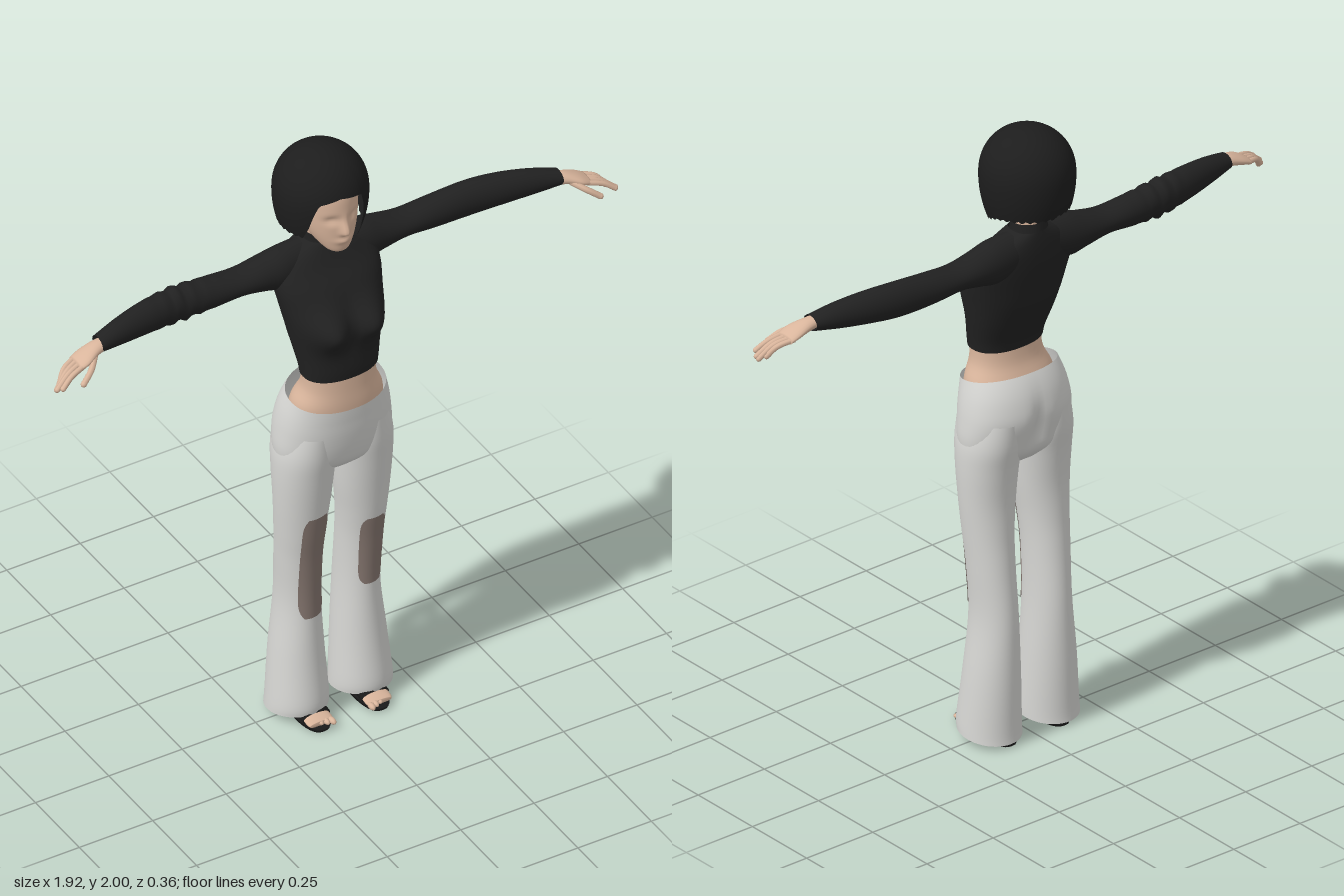
import * as THREE from 'three';
import { mergeGeometries } from 'three/addons/utils/BufferGeometryUtils.js';

const paint = (name, color, side = THREE.FrontSide) => {
  const m = new THREE.MeshStandardMaterial({ color, side });
  m.name = name;
  return m;
};
const gauss = (d, s) => Math.exp(-(d * d) / (s * s));

// Smoothly subdivide a list of rings [y, xMin, xMax, zMin, zMax], y ascending.
function densify(rings, sub = 5) {
  const out = [], at = i => rings[Math.max(0, Math.min(rings.length - 1, i))];
  for (let i = 0; i < rings.length - 1; i++) {
    for (let k = 0; k < sub; k++) {
      const t = k / sub, a = at(i - 1), b = at(i), c = at(i + 1), d = at(i + 2);
      out.push(b.map((_, n) => 0.5 * (2 * b[n] + (c[n] - a[n]) * t +
        (2 * a[n] - 5 * b[n] + 4 * c[n] - d[n]) * t * t + (3 * b[n] - a[n] - 3 * c[n] + d[n]) * t ** 3)));
    }
  }
  out.push(rings[rings.length - 1]);
  return out;
}

// Skin a surface over the rings; power < 1 gives boxier sections.
function loft(rings, { seg = 32, power = 1, cap = false, sub = 5, shape } = {}) {
  const rows = densify(rings, sub), pos = [], idx = [], v = new THREE.Vector3();
  const soft = n => Math.sign(n) * Math.abs(n) ** power;
  for (const [y, x0, x1, z0, z1] of rows) {
    for (let j = 0; j < seg; j++) {
      const t = (j / seg) * Math.PI * 2;
      v.set((x0 + x1) / 2 + ((x1 - x0) / 2) * soft(Math.cos(t)), y, (z0 + z1) / 2 + ((z1 - z0) / 2) * soft(Math.sin(t)));
      if (shape) shape(v);
      pos.push(v.x, v.y, v.z);
    }
  }
  for (let i = 0; i < rows.length - 1; i++) {
    for (let j = 0; j < seg; j++) {
      const a = i * seg + j, b = i * seg + (j + 1) % seg;
      idx.push(a, a + seg, b, b, a + seg, b + seg);
    }
  }
  if (cap) {
    for (const [row, up] of [[0, false], [rows.length - 1, true]]) {
      const [y, x0, x1, z0, z1] = rows[row], c = pos.length / 3;
      pos.push((x0 + x1) / 2, y, (z0 + z1) / 2);
      for (let j = 0; j < seg; j++) {
        const a = row * seg + j, b = row * seg + (j + 1) % seg;
        if (up) idx.push(a, c, b); else idx.push(a, b, c);
      }
    }
  }
  return surface(pos, idx);
}

function surface(pos, idx) {
  const g = new THREE.BufferGeometry();
  g.setAttribute('position', new THREE.Float32BufferAttribute(pos, 3));
  g.setIndex(idx);
  g.computeVertexNormals();
  return g;
}

// Regular grid surface from a point function.
function sheet(rows, cols, point) {
  const pos = [], idx = [], w = cols + 1;
  for (let i = 0; i <= rows; i++) for (let j = 0; j <= cols; j++) pos.push(...point(i / rows, j / cols));
  for (let i = 0; i < rows; i++) {
    for (let j = 0; j < cols; j++) {
      const a = i * w + j;
      idx.push(a, a + w, a + 1, a + 1, a + w, a + w + 1);
    }
  }
  return surface(pos, idx);
}

// Finger: bent tube with a rounded tip.
function finger(points, r) {
  const p = points.map(q => new THREE.Vector3(...q));
  const tip = new THREE.SphereGeometry(r, 10, 8).translate(...points[points.length - 1]);
  return mergeGeometries([new THREE.TubeGeometry(new THREE.CatmullRomCurve3(p), 10, r, 8), tip]);
}

// One trouser leg on side s.
const legRings = s => [
  [0.025, 0.015, 0.203, -0.107, 0.095], [0.07, 0.016, 0.2, -0.105, 0.097], [0.23, 0.025, 0.185, -0.105, 0.08],
  [0.41, 0.035, 0.166, -0.1, 0.07], [0.57, 0.035, 0.172, -0.085, 0.075], [0.68, 0.028, 0.18, -0.074, 0.087],
  [0.79, 0.015, 0.188, -0.07, 0.099], [0.9, 0.006, 0.193, -0.08, 0.112], [0.98, 0.002, 0.19, -0.094, 0.122],
  [1.06, 0.01, 0.172, -0.1, 0.125],
].map(([y, a, b, c, d]) => (s > 0 ? [y, a, b, c, d] : [y, -b, -a, c, d]));

export function createModel() {
  const skin = paint('skin', 0xd9b59c);
  const hairPaint = paint('hair black', 0x1d1d1d, THREE.DoubleSide);
  const knit = paint('sweater black', 0x212121, THREE.DoubleSide);
  const denim = paint('trouser white', 0xd6d6d3, THREE.DoubleSide);
  const worn = paint('worn knee', 0x85766f, THREE.DoubleSide);
  const leather = paint('sandal black', 0x1a1a1a);
  const model = new THREE.Group();
  const add = (name, geo, mat) => {
    const m = new THREE.Mesh(geo, mat);
    m.name = name;
    model.add(m);
  };

  // Head with nose, lips, chin and eye sockets raised from the front
  add('head', loft([
    [1.688, -0.02, 0.02, 0.03, 0.07], [1.7, -0.04, 0.04, 0.0, 0.082], [1.735, -0.066, 0.066, -0.07, 0.088],
    [1.78, -0.084, 0.084, -0.12, 0.09], [1.84, -0.093, 0.093, -0.15, 0.09], [1.9, -0.095, 0.095, -0.15, 0.08],
    [1.95, -0.075, 0.075, -0.12, 0.045],
  ], { seg: 72, sub: 8, cap: true, shape: v => {
    if (v.z < 0.02) return;
    const x = Math.abs(v.x);
    v.z += 0.024 * gauss(x, 0.013) * gauss(v.y - 1.772, v.y > 1.772 ? 0.035 : 0.011);
    v.z += 0.008 * gauss(x, 0.024) * gauss(v.y - 1.738, 0.01);
    v.z -= 0.011 * gauss(x - 0.036, 0.02) * gauss(v.y - 1.815, 0.014);
  } }), skin);
  add('neck', loft([[1.6, -0.048, 0.048, -0.1, -0.005], [1.68, -0.045, 0.045, -0.09, -0.005],
    [1.76, -0.045, 0.045, -0.085, 0.0]]), skin);

  // Bob hair: lower edge rises over the face and hangs longer on the left
  add('hair', sheet(28, 120, (v, u) => {
    const deg = u * 360 - 180, phi = THREE.MathUtils.degToRad(deg);
    const open = THREE.MathUtils.smoothstep(deg, -56, -30) * (1 - THREE.MathUtils.smoothstep(deg, 26, 40));
    const front = gauss(deg - 50, 35) * 0.045;
    const low = (deg < 0 ? 1.755 : 1.75) - front + 0.004 * Math.sin(deg * 0.6);
    const edge = THREE.MathUtils.lerp(low, 1.9 - Math.abs(deg + 5) * 0.0005, open);
    const y = 2 - (2 - edge) * v * v, d = y - 1.85;
    const r = d > 0 ? Math.sqrt(Math.max(0, 1 - (d / 0.15) ** 2.2)) : 1 - 0.16 * (d / 0.13) ** 2;
    return [-0.004 + 0.143 * r * Math.sin(phi), y, -0.043 + 0.145 * r * Math.cos(phi)];
  }), hairPaint);

  // Sweater body, collar and bare waist
  add('sweaterBody', loft([
    [1.262, -0.122, 0.122, -0.025, 0.134], [1.3, -0.127, 0.127, -0.035, 0.136], [1.37, -0.14, 0.14, -0.065, 0.132],
    [1.44, -0.152, 0.152, -0.09, 0.128], [1.5, -0.163, 0.163, -0.102, 0.108], [1.56, -0.172, 0.172, -0.11, 0.08],
    [1.61, -0.165, 0.165, -0.112, 0.042], [1.65, -0.12, 0.12, -0.11, 0.018], [1.68, -0.058, 0.058, -0.106, 0.002],
  ], { seg: 64, power: 0.88, shape: v => {
    if (v.z > 0) v.z += 0.054 * gauss(Math.abs(v.x) - 0.07, 0.056) * gauss(v.y - 1.45, 0.062);
  } }), knit);
  add('collar', loft([[1.63, -0.07, 0.07, -0.11, 0.015], [1.67, -0.056, 0.056, -0.106, 0.004],
    [1.705, -0.053, 0.053, -0.1, 0.002]]), knit);
  add('waist', loft([[1.1, -0.15, 0.15, -0.07, 0.135], [1.16, -0.144, 0.144, -0.055, 0.136],
    [1.22, -0.119, 0.119, -0.03, 0.132], [1.3, -0.116, 0.116, -0.02, 0.128]], { seg: 48, power: 0.92 }), skin);

  // Trouser hips: waistband dips at the front, crease at the back
  add('trouserHips', loft([
    [0.9, -0.1, 0.1, -0.045, 0.075], [0.94, -0.175, 0.175, -0.082, 0.112], [0.99, -0.19, 0.19, -0.098, 0.128],
    [1.06, -0.185, 0.185, -0.113, 0.139], [1.12, -0.174, 0.174, -0.103, 0.143], [1.18, -0.157, 0.157, -0.072, 0.146],
  ], { seg: 64, power: 0.92, shape: v => {
    if (v.z < 0) v.z += 0.022 * gauss(v.x, 0.022) * gauss(v.y - 1.02, 0.075);
    v.y -= 0.19 * (v.z - 0.02) * THREE.MathUtils.smoothstep(v.y, 1.08, 1.18);
  } }), denim);

  for (const s of [1, -1]) {
    const side = s > 0 ? 'left' : 'right';

    // Sleeve, lofted upright then laid along x, with folds on the right one
    const alongX = rings => rings.map(([x, y0, y1, z0, z1]) => (s > 0 ? [x, -y1, -y0, z0, z1] : [x, y0, y1, z0, z1]));
    const lay = (rings, opts) => loft(alongX(rings), opts).rotateZ(-s * Math.PI / 2);
    add(side + 'Sleeve', lay([
      [0.07, 1.55, 1.678, -0.105, 0.0], [0.14, 1.535, 1.672, -0.109, 0.008], [0.2, 1.548, 1.657, -0.109, 0.003],
      [0.28, 1.562, 1.642, -0.106, -0.002], [0.38, 1.553, 1.65, -0.105, -0.005], [0.5, 1.55, 1.66, -0.1, -0.005],
      [0.6, 1.557, 1.659, -0.085, 0.005], [0.7, 1.567, 1.648, -0.06, 0.016], [0.785, 1.58, 1.628, -0.036, 0.026],
    ], { sub: 8, shape: v => {
      if (s < 0) v.x += 0.008 * Math.sin(v.y * 130) * gauss(v.y - 0.48, 0.06);
    } }), knit);

    // Hand: palm, four fingers and thumb
    add(side + 'Palm', lay([[0.76, 1.585, 1.622, -0.024, 0.02], [0.8, 1.58, 1.617, -0.026, 0.03],
      [0.84, 1.57, 1.602, -0.028, 0.046], [0.87, 1.562, 1.585, -0.024, 0.044]], { seg: 20, cap: true }), skin);
    [[-0.016, 0.02, 0.93, 1.532], [0.0, 0.034, 0.948, 1.524], [0.017, 0.042, 0.95, 1.53], [0.035, 0.058, 0.94, 1.54]]
      .forEach(([z0, z1, x, y], i) => add(side + 'Finger' + (i + 1), finger([[s * 0.855, 1.577, z0],
        [s * 0.905, 1.563, (z0 + z1) / 2], [s * x, y, z1]], 0.0085), skin));
    add(side + 'Thumb', finger([[s * 0.81, 1.59, 0.022], [s * 0.845, 1.57, 0.058], [s * 0.88, 1.545, 0.075]], 0.0095), skin);

    add(side + 'Ear', new THREE.SphereGeometry(0.02, 16, 12).scale(0.5, 1.3, 0.9).translate(s * 0.088, 1.775, -0.02), skin);

    // Trouser leg with the hem slightly higher in front
    const rings = legRings(s);
    add(side + 'TrouserLeg', loft(rings, { seg: 48, shape: v => {
      v.y += 0.12 * v.z * (1 - THREE.MathUtils.smoothstep(v.y, 0.02, 0.16));
    } }), denim);

    // Worn patch hugging the front of the leg
    const [px0, px1, py0, py1] = s > 0 ? [0.064, 0.15, 0.425, 0.675] : [-0.14, -0.045, 0.375, 0.755];
    const rows = densify(rings);
    add(side + 'KneePatch', sheet(24, 12, (v, u) => {
      const y = py1 + (py0 - py1) * v, inset = 0.016 * Math.abs(2 * v - 1) ** 10;
      const x = px0 + inset + (px1 - px0 - 2 * inset) * u;
      const k = rows.findIndex(r => r[0] > y), a = rows[k - 1], b = rows[k], t = (y - a[0]) / (b[0] - a[0]);
      const [, x0, x1, z0, z1] = a.map((n, i) => n + (b[i] - n) * t);
      const q = (2 * x - x0 - x1) / (x1 - x0);
      return [x, y, (z0 + z1) / 2 + ((z1 - z0) / 2) * Math.sqrt(Math.max(0, 1 - q * q)) + 0.003];
    }), worn);

    // Foot, toes and sandal; foot sections run along z
    const c = s * 0.1;
    const alongZ = (list, opts) => loft(list.map(([z, w, y0, y1]) => [z, c - w, c + w, -y1, -y0]), opts).rotateX(Math.PI / 2);
    add(side + 'Foot', alongZ([[-0.09, 0.018, 0.015, 0.045], [-0.06, 0.03, 0.012, 0.085], [0.0, 0.034, 0.012, 0.08],
      [0.06, 0.041, 0.012, 0.052], [0.11, 0.043, 0.012, 0.034], [0.125, 0.038, 0.012, 0.028]], { seg: 24, cap: true }), skin);
    add(side + 'Ankle', loft([[0.03, c - 0.03, c + 0.03, -0.085, -0.015], [0.25, c - 0.037, c + 0.037, -0.07, 0.005]]), skin);
    for (let i = 0; i < 5; i++) {
      add(side + 'Toe' + (i + 1), new THREE.SphereGeometry(0.011 - i * 0.001, 10, 8).scale(0.9, 0.9, 1.7)
        .translate(c + s * (i - 2) * 0.0165, 0.021, 0.13 - i * 0.006), skin);
    }
    add(side + 'Sole', loft([[0, c - 0.043, c + 0.043, -0.1, 0.14], [0.014, c - 0.045, c + 0.045, -0.102, 0.146]],
      { power: 0.75, cap: true, sub: 1 }), leather);
    add(side + 'ToeStrap', alongZ([[0.055, 0.046, 0.006, 0.06], [0.095, 0.047, 0.006, 0.045]], { cap: true, sub: 1 }), leather);
    add(side + 'HeelStrap', loft([[0.012, c - 0.034, c + 0.034, -0.1, 0.0], [0.05, c - 0.036, c + 0.036, -0.097, 0.01]],
      { cap: true }), leather);
  }
  return model;
}
